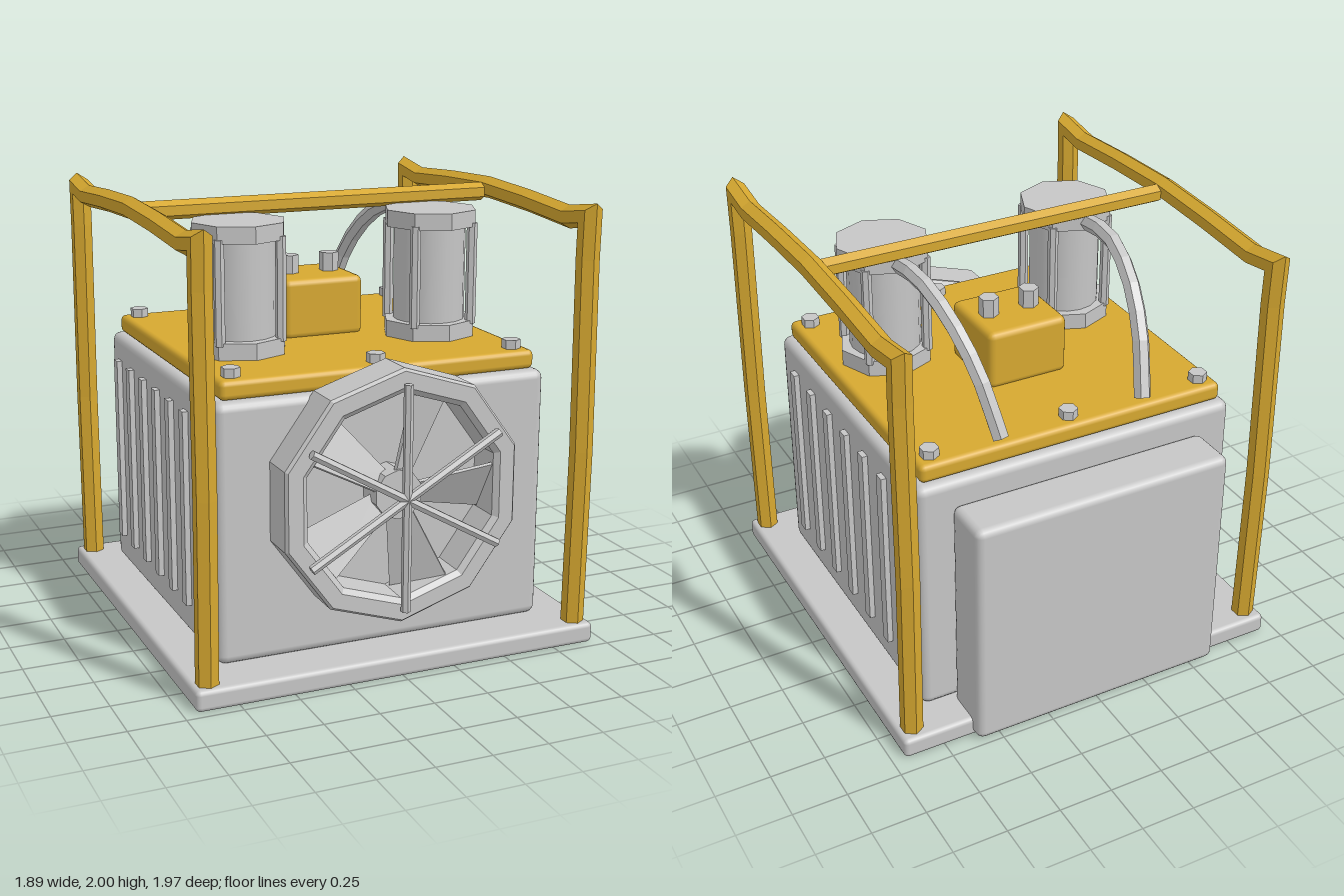
import * as THREE from 'three';
import { RoundedBoxGeometry } from 'three/addons/geometries/RoundedBoxGeometry.js';

export function createModel() {
  const model = new THREE.Group();
  model.name = 'powerUnit';
  const grey = new THREE.MeshStandardMaterial({ color: 0xc6c6c6 });
  grey.name = 'grey metal';
  const gold = new THREE.MeshStandardMaterial({ color: 0xd6a830 });
  gold.name = 'yellow paint';

  function add(name, geometry, material, x = 0, y = 0, z = 0, parent = model) {
    const mesh = new THREE.Mesh(geometry, material);
    mesh.name = name;
    mesh.position.set(x, y, z);
    parent.add(mesh);
    return mesh;
  }

  // Gives a geometry faceted normals
  function faceted(geometry) {
    const g = geometry.toNonIndexed();
    g.computeVertexNormals();
    return g;
  }

  // Upright prism with flat sides
  const prism = (r, height, sides) => faceted(new THREE.CylinderGeometry(r, r, height, sides));

  // Box with softened edges, given by its limits
  function softBox(name, material, [x0, x1], [y0, y1], [z0, z1], r) {
    const g = new RoundedBoxGeometry(x1 - x0, y1 - y0, z1 - z0, 2, r);
    return add(name, g, material, (x0 + x1) / 2, (y0 + y1) / 2, (z0 + z1) / 2);
  }

  // Six-sided pipe with mitred bends along a path of [z, y] points
  function framePipe(path, r) {
    const pts = path.map(([z, y]) => new THREE.Vector2(z, y));
    const pos = [], idx = [], n = 6;
    pts.forEach((p, i) => {
      const a = p.clone().sub(pts[Math.max(i - 1, 0)]).normalize();
      const b = pts[Math.min(i + 1, pts.length - 1)].clone().sub(p).normalize();
      if (i === 0) a.copy(b);
      if (i === pts.length - 1) b.copy(a);
      const t = a.clone().add(b).normalize();
      const stretch = 1 / t.dot(a);
      for (let k = 0; k < n; k++) {
        const ang = (k / n) * Math.PI * 2;
        const out = Math.cos(ang) * r * stretch;
        pos.push(Math.sin(ang) * r, p.y + t.x * out, p.x - t.y * out);
      }
    });
    for (let i = 0; i < pts.length - 1; i++) {
      for (let k = 0; k < n; k++) {
        const a = i * n + k, b = i * n + (k + 1) % n;
        idx.push(a, a + n, b, b, a + n, b + n);
      }
    }
    const last = (pts.length - 1) * n;
    for (let k = 1; k < n - 1; k++) {
      idx.push(0, k, k + 1, last, last + k + 1, last + k);
    }
    const g = new THREE.BufferGeometry();
    g.setAttribute('position', new THREE.Float32BufferAttribute(pos, 3));
    g.setIndex(idx);
    return faceted(g);
  }

  // Main volumes
  softBox('basePlate', grey, [-0.943, 0.943], [0, 0.095], [-0.925, 0.965], 0.022);
  softBox('body', grey, [-0.77, 0.77], [0.09, 1.24], [-0.75, 0.755], 0.04);
  softBox('rearPanel', grey, [-0.615, 0.615], [0.01, 1.125], [-0.985, -0.745], 0.035);
  softBox('lid', gold, [-0.735, 0.735], [1.24, 1.325], [-0.715, 0.72], 0.025);
  softBox('controlBox', gold, [-0.195, 0.19], [1.315, 1.59], [-0.285, 0.09], 0.03);

  // Side ribs, lid bolts and control knobs
  for (const side of [-1, 1]) {
    for (let i = -3; i <= 3; i++) {
      add('sideRib', new THREE.BoxGeometry(0.05, 0.885, 0.052), grey, side * 0.77, 0.682, -0.018 + i * 0.197);
    }
    add('knob', prism(0.045, 0.1, 6), grey, side * 0.1, 1.625, -0.1);
    for (const x of [-0.66, 0, 0.66]) {
      add('lidBolt', prism(0.042, 0.05, 6), grey, x, 1.34, side * 0.64);
    }
  }

  for (const side of [-1, 1]) {
    // Cylinder towers with end caps and tie rods
    const tower = new THREE.Group();
    tower.name = side > 0 ? 'leftTower' : 'rightTower';
    tower.position.set(side * 0.463, 0, 0.217);
    model.add(tower);
    for (const y of [1.362, 1.865]) {
      add('towerCap', prism(0.214, 0.075, 8), grey, 0, y, 0, tower);
    }
    add('towerCore', new THREE.CylinderGeometry(0.163, 0.163, 0.46, 16), grey, 0, 1.615, 0, tower);
    for (const x of [-0.141, 0.141]) for (const z of [-0.141, 0.141]) {
      add('tieRod', prism(0.024, 0.46, 6), grey, x, 1.615, z, tower);
    }

    // Hose arching back from the tower to the lid
    const curve = new THREE.CatmullRomCurve3([
      [0.468, 1.86, 0.03], [0.462, 1.875, -0.18], [0.435, 1.785, -0.39],
      [0.395, 1.61, -0.56], [0.348, 1.34, -0.68],
    ].map(([x, y, z]) => new THREE.Vector3(side * x, y, z)));
    add('hose', faceted(new THREE.TubeGeometry(curve, 8, 0.039, 6)), grey);

    // Slightly bent roll frame
    const half = [[0.895, 0.09], [0.91, 0.9], [0.898, 1.75], [0.903, 1.935], [0.74, 1.91], [0.4, 1.933]];
    const path = [...half, [0.02, 1.948], ...half.map(([z, y]) => [0.05 - z, y]).reverse()];
    add('sideFrame', framePipe(path, 0.051), gold, side * 0.874);
  }

  // Cross bar with a ridge along its top
  const barShape = new THREE.CylinderGeometry(0.043, 0.043, 1.66, 6, 1, false, Math.PI / 6);
  add('crossBar', faceted(barShape), gold, 0, 1.932, 0.017).rotation.z = Math.PI / 2;

  // Fan on the front face
  const fan = new THREE.Group();
  fan.name = 'fan';
  fan.position.set(0, 0.8, 0);
  model.add(fan);
  const profile = [[0.562, 0.74], [0.562, 0.92], [0.55, 0.935], [0.48, 0.935], [0.455, 0.915], [0.45, 0.74]]
    .map(([r, z]) => new THREE.Vector2(r, z));
  const shroud = add('shroud', faceted(new THREE.LatheGeometry(profile, 10)), grey, 0, 0, 0, fan);
  shroud.rotation.x = Math.PI / 2;
  grey.side = THREE.DoubleSide;
  const hub = add('fanHub', prism(0.11, 0.13, 10), grey, 0, 0, 0.82, fan);
  hub.rotation.x = Math.PI / 2;

  // Five pitched blades
  const bladeShape = new THREE.Shape([[0.06, -0.05], [0.43, -0.125], [0.43, 0.125], [0.06, 0.05]]
    .map(([x, y]) => new THREE.Vector2(x, y)));
  for (let i = 0; i < 5; i++) {
    const holder = new THREE.Group();
    holder.name = 'fanBlade';
    holder.position.z = 0.835;
    holder.rotation.z = THREE.MathUtils.degToRad(70 - i * 72);
    fan.add(holder);
    const blade = add('blade', new THREE.ExtrudeGeometry(bladeShape, { depth: 0.015, bevelEnabled: false }),
      grey, 0, 0, 0, holder);
    blade.rotation.x = 0.5;
  }

  // Guard bars crossing the fan
  for (let i = 0; i < 3; i++) {
    const rod = add('guardBar', prism(0.021, 1, 6), grey, 0, 0, 0.965, fan);
    rod.rotation.z = (i * Math.PI) / 3;
  }
  return model;
}
